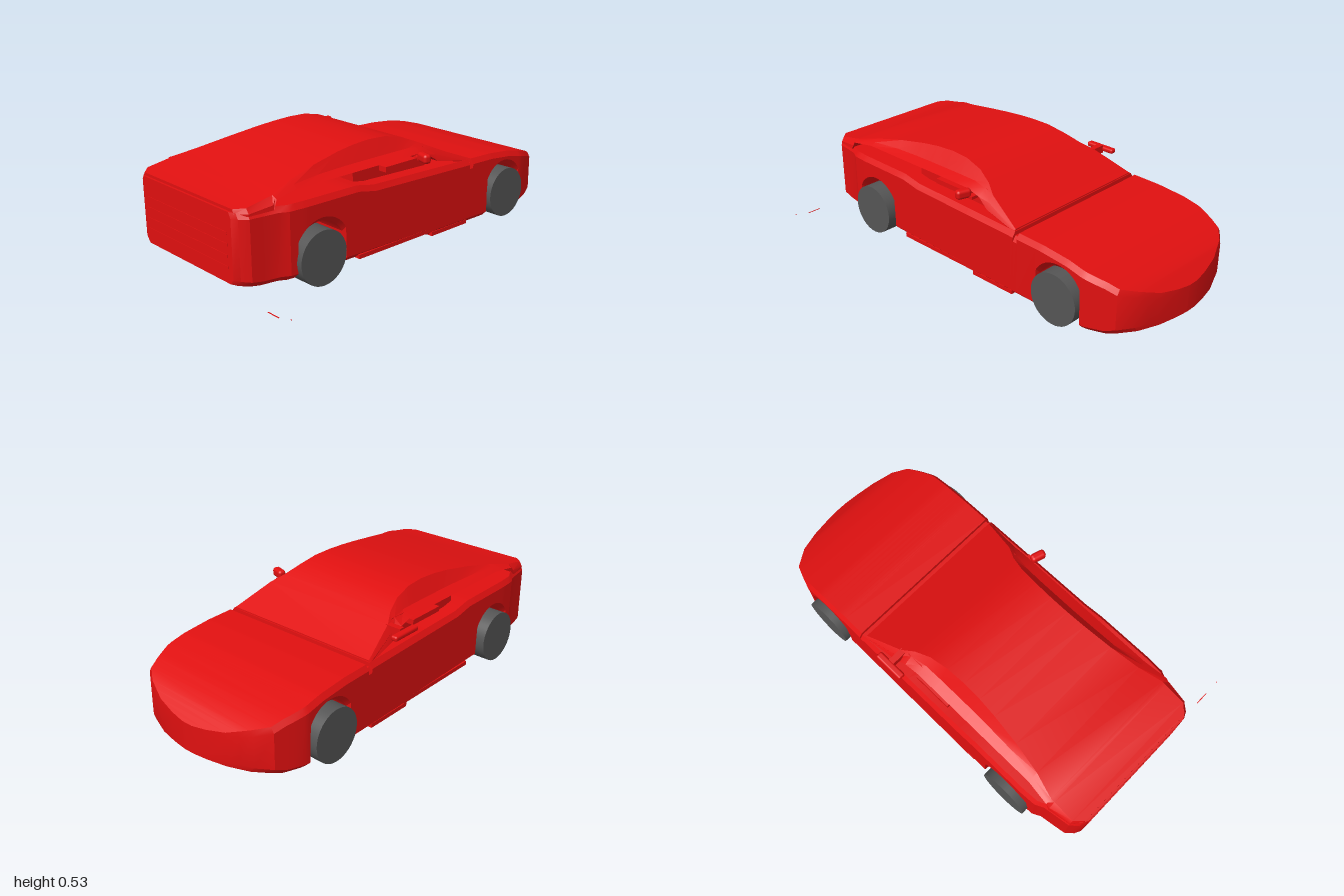
import * as THREE from 'three';
import { toCreasedNormals } from 'three/addons/utils/BufferGeometryUtils.js';
import { RoundedBoxGeometry } from 'three/addons/geometries/RoundedBoxGeometry.js';

const CZ = -0.11; // centre plane of the car
const red = new THREE.MeshStandardMaterial({ color: 0xe01010 });
const rubber = new THREE.MeshStandardMaterial({ color: 0x555555 });

// Linear interpolation in a table of [x, value]
function lookup(table, x) {
  for (let i = 1; i < table.length; i++) {
    const [x0, a] = table[i - 1], [x1, b] = table[i];
    if (x <= x1) return a + (b - a) * Math.max(0, (x - x0) / (x1 - x0));
  }
  return table[table.length - 1][1];
}

// Skin over stations { x, half: [[y, halfWidth], ...] } mirrored across the centre plane
function loft(stations) {
  const pos = [], idx = [];
  const n = stations[0].half.length * 2;
  for (const { x, half } of stations) {
    for (const [y, w] of half) pos.push(x, y, w);
    for (const [y, w] of [...half].reverse()) pos.push(x, y, -w);
  }
  for (let i = 0; i < stations.length - 1; i++) {
    for (let j = 0; j < n; j++) {
      const k = (j + 1) % n, a = i * n, b = a + n;
      idx.push(a + j, b + j, b + k, a + j, b + k, a + k);
    }
  }
  const end = (stations.length - 1) * n;
  for (let j = 1; j < n - 1; j++) {
    idx.push(0, j, j + 1, end, end + j + 1, end + j);
  }
  const g = new THREE.BufferGeometry();
  g.setAttribute('position', new THREE.Float32BufferAttribute(pos, 3));
  g.setIndex(idx);
  return toCreasedNormals(g, 0.4);
}

// Plan half width, upper edge and lower edge of the lower body along x
const planWidth = [[-1, 0.33], [-0.985, 0.36], [-0.95, 0.39], [-0.82, 0.41], [-0.78, 0.43], [-0.7, 0.435],
  [0.74, 0.435], [0.8, 0.415], [0.88, 0.385], [0.93, 0.315], [0.97, 0.21], [0.99, 0.11], [1, 0.03]];
const upperEdge = [[-1, 0.395], [-0.82, 0.395], [-0.4, 0.39], [-0.3, 0.37], [0.32, 0.35], [0.5, 0.345],
  [0.65, 0.33], [0.75, 0.307], [0.83, 0.285], [0.93, 0.245], [1, 0.185]];
const lowerEdge = [[-1, 0.08], [-0.9, 0.065], [-0.45, 0.055], [0.04, 0.045], [0.06, 0.03], [0.45, 0.025],
  [0.74, 0.025], [0.86, 0.03], [0.88, 0.045], [1, 0.05]];
const arches = [{ x: -0.61, r: 0.148 }, { x: 0.598, r: 0.14 }];

function bodyStation(x, y0, dip = 0) {
  const w = lookup(planWidth, x), y1 = lookup(upperEdge, x) - dip;
  return { x, half: [[y0, w * 0.94], [y0 + 0.025, w], [y1 - 0.025, w], [y1, w * 0.96]] };
}

function lowerBody() {
  const list = [];
  const xs = [-1, -0.985, -0.95, -0.9, -0.82, -0.78, -0.4, -0.3, 0.04, 0.06, 0.32,
    0.75, 0.8, 0.83, 0.88, 0.93, 0.95, 0.97, 0.99, 1];
  for (const x of xs) list.push(bodyStation(x, lookup(lowerEdge, x)));
  // seam in front of the windscreen
  for (const [x, dip] of [[0.335, 0], [0.336, 0.02], [0.358, 0.02], [0.359, 0]]) {
    list.push(bodyStation(x, lookup(lowerEdge, x), dip));
  }
  // wheel tunnels, each a half circle on short vertical sides
  for (const { x: cx, r } of arches) {
    for (const s of [-1, 1]) {
      const x = cx + s * (r * 0.9 + 0.001);
      list.push(bodyStation(x, lookup(lowerEdge, x)));
    }
    for (let i = 0; i <= 16; i++) {
      const d = -0.9 * Math.cos((i / 16) * Math.PI);
      list.push(bodyStation(cx + d * r, i % 16 ? 0.13 + r * Math.sqrt(1 - d * d) : 0.13));
    }
  }
  list.sort((a, b) => a.x - b.x);
  return loft(list);
}

// Roof, rear deck, side glass and windscreen: [x, yLow, wLow, yMid, wMid, yTop, wTop]
const roofStations = [
  [-0.99, 0.38, 0.34, 0.39, 0.34, 0.408, 0.33],
  [-0.95, 0.38, 0.385, 0.39, 0.385, 0.413, 0.37],
  [-0.84, 0.385, 0.405, 0.405, 0.4, 0.432, 0.37],
  [-0.82, 0.425, 0.4, 0.43, 0.39, 0.437, 0.37],
  [-0.7, 0.437, 0.385, 0.45, 0.36, 0.463, 0.335],
  [-0.55, 0.437, 0.385, 0.455, 0.34, 0.491, 0.31],
  [-0.4, 0.437, 0.385, 0.457, 0.335, 0.514, 0.293],
  [-0.3, 0.437, 0.385, 0.457, 0.333, 0.525, 0.286],
  [-0.2, 0.437, 0.385, 0.457, 0.333, 0.53, 0.284],
  [-0.1, 0.437, 0.385, 0.457, 0.333, 0.526, 0.288],
  [0, 0.437, 0.385, 0.457, 0.335, 0.503, 0.3],
  [0.08, 0.42, 0.39, 0.45, 0.35, 0.469, 0.325],
  [0.14, 0.38, 0.4, 0.41, 0.385, 0.44, 0.36],
  [0.33, 0.34, 0.42, 0.345, 0.42, 0.355, 0.41],
];

export function createModel() {
  const model = new THREE.Group();
  const add = (name, geometry, material, x, y, z) => {
    const m = new THREE.Mesh(geometry, material);
    m.name = name;
    m.position.set(x, y, z);
    model.add(m);
    return m;
  };
  const box = (name, w, h, d, x, y, z) => add(name, new THREE.BoxGeometry(w, h, d), red, x, y, z);

  add('lowerBody', lowerBody(), red, 0, 0, CZ);
  add('roof', loft(roofStations.map(([x, a, b, c, d, e, f]) =>
    ({ x, half: [[a, b], [c, d], [e, f]] }))), red, 0, 0, CZ);

  // Cabin filling below the side windows
  box('cabin', 0.46, 0.1, 0.7, -0.13, 0.4, CZ);
  for (const s of [-1, 1]) {
    box('windowLedge', 0.2, 0.025, 0.06, -0.1, 0.41, CZ + s * 0.365);
    box('sill', 0.5, 0.02, 0.03, -0.15, 0.06, CZ + s * 0.42);
    box('frontSill', 0.25, 0.02, 0.03, 0.2, 0.035, CZ + s * 0.415);
  }

  // Rear louvres
  for (let i = 0; i < 4; i++) box('rearLouvre', 0.012, 0.012, 0.6, -0.996, 0.15 + i * 0.05, CZ);

  // Full-width wheel rollers
  for (const [name, x] of [['rearWheels', -0.625], ['frontWheels', 0.595]]) {
    const g = new THREE.CylinderGeometry(0.126, 0.126, 0.925, 40).rotateX(Math.PI / 2);
    add(name, g, rubber, x, 0.13, -0.1125);
  }

  // Door mirrors, unequally folded
  add('leftMirror', new RoundedBoxGeometry(0.04, 0.045, 0.075, 3, 0.015), red, 0.015, 0.428, 0.317)
    .rotation.y = -0.3;
  box('leftMirrorStalk', 0.03, 0.015, 0.08, 0.04, 0.41, 0.26);
  add('rightMirror', new RoundedBoxGeometry(0.16, 0.025, 0.035, 3, 0.01), red, 0.125, 0.42, -0.552);
  box('rightMirrorStalk', 0.03, 0.04, 0.08, 0.13, 0.42, -0.5);

  // Loose trim slivers beside the tail
  box('looseTrim', 0.004, 0.002, 0.07, -0.99, 0.035, 0.465);
  box('looseTrim', 0.003, 0.002, 0.006, -0.99, 0.055, 0.575);
  return model;
}
